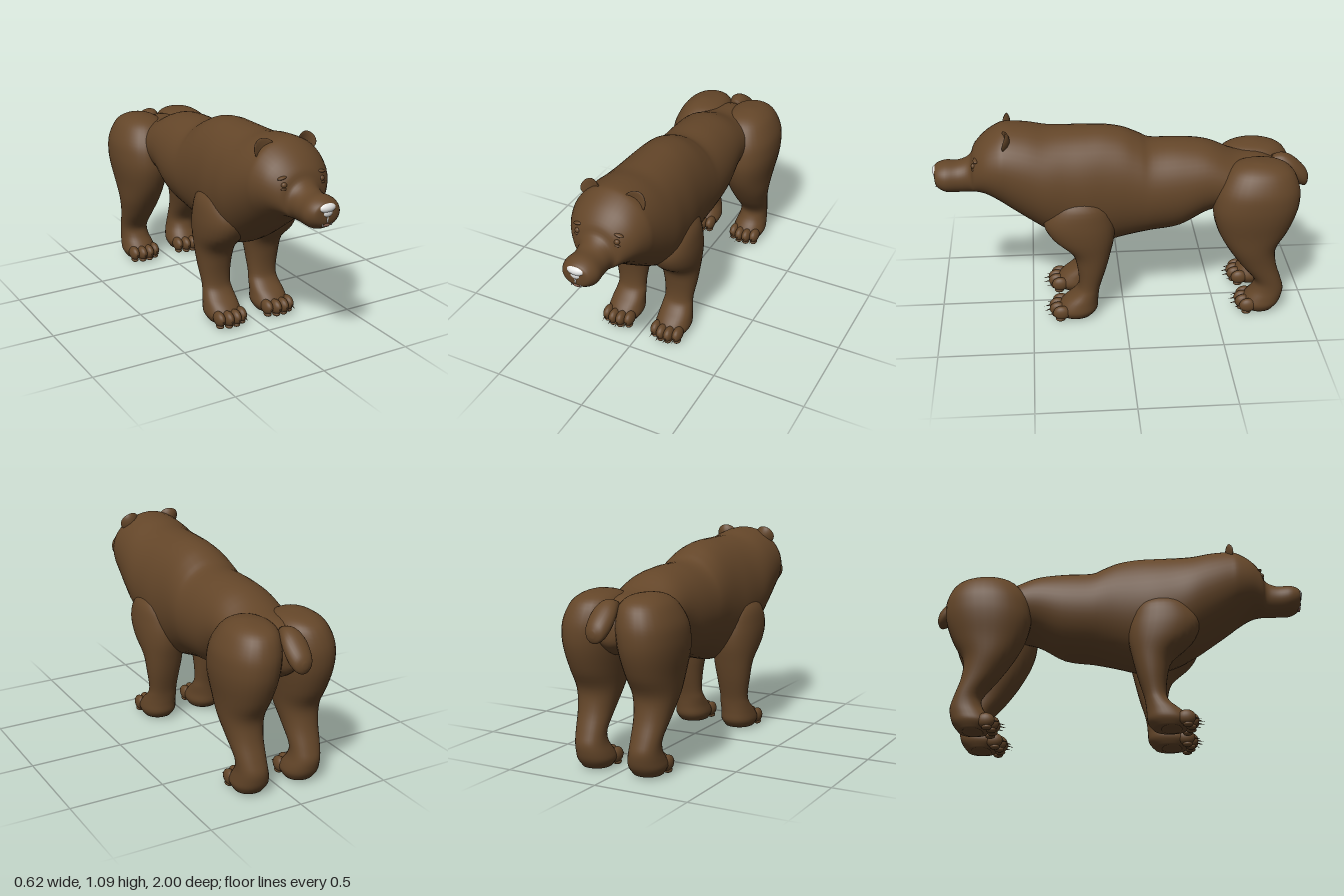
import * as THREE from 'three';

const fur = new THREE.MeshStandardMaterial({ name: 'brownFur', color: 0x644629 });
const white = new THREE.MeshStandardMaterial({ name: 'paleNose', color: 0xe6e6e4 });
const pink = new THREE.MeshStandardMaterial({ name: 'mouthPink', color: 0x8a6250 });

// Smooth loft through oval sections [t, a0, a1, b0, b1].
// axis 'z': a = x, b = y; axis 'y': a = z, b = x.
function loft(sections, axis, steps = 4, sides = 36, power = 1) {
  const s = sections[0][0] < sections.at(-1)[0] ? sections : [...sections].reverse();
  const at = i => s[Math.max(0, Math.min(s.length - 1, i))];
  const rows = [];
  for (let i = 0; i < s.length - 1; i++) {
    for (let k = 0; k < steps; k++) {
      const u = k / steps;
      rows.push(s[i].map((p1, c) => {
        const p0 = at(i - 1)[c], p2 = at(i + 1)[c], p3 = at(i + 2)[c];
        return p1 + 0.5 * u * (p2 - p0 + u * (2 * p0 - 5 * p1 + 4 * p2 - p3 + u * (3 * (p1 - p2) + p3 - p0)));
      }));
    }
  }
  rows.push(s.at(-1));
  const pos = [], index = [];
  const put = (a, b, t) => (axis === 'z' ? pos.push(a, b, t) : pos.push(b, t, a));
  const bend = v => Math.sign(v) * Math.abs(v) ** power;
  for (const [t, a0, a1, b0, b1] of rows) {
    for (let j = 0; j < sides; j++) {
      const w = (j / sides) * Math.PI * 2;
      put((a0 + a1) / 2 + bend(Math.cos(w)) * (a1 - a0) / 2,
        (b0 + b1) / 2 + bend(Math.sin(w)) * (b1 - b0) / 2, t);
    }
  }
  const n = rows.length;
  for (const r of [rows[0], rows[n - 1]]) put((r[1] + r[2]) / 2, (r[3] + r[4]) / 2, r[0]);
  for (let j = 0; j < sides; j++) {
    const m = (j + 1) % sides;
    for (let i = 0; i < n - 1; i++) {
      const p = i * sides, q = p + sides;
      index.push(p + j, p + m, q + j, p + m, q + m, q + j);
    }
    const last = (n - 1) * sides;
    index.push(n * sides, m, j, n * sides + 1, last + j, last + m);
  }
  const g = new THREE.BufferGeometry();
  g.setAttribute('position', new THREE.Float32BufferAttribute(pos, 3));
  g.setIndex(index);
  g.computeVertexNormals();
  return g;
}

function add(parent, name, geometry, material = fur) {
  const mesh = new THREE.Mesh(geometry, material);
  mesh.name = name;
  parent.add(mesh);
  return mesh;
}

function blob(parent, name, [x, y, z], [rx, ry, rz], material = fur) {
  const mesh = add(parent, name, new THREE.SphereGeometry(1, 20, 14), material);
  mesh.position.set(x, y, z);
  mesh.scale.set(rx, ry, rz);
  return mesh;
}

// Muzzle to rump: [z, half width, bottom, top]
const BODY = [
  [0.988, 0.035, 0.79, 0.845], [0.978, 0.072, 0.75, 0.868], [0.93, 0.095, 0.72, 0.885],
  [0.86, 0.088, 0.715, 0.885], [0.8, 0.095, 0.715, 0.915], [0.775, 0.135, 0.72, 0.97],
  [0.72, 0.182, 0.712, 1.03], [0.65, 0.213, 0.67, 1.075], [0.6, 0.222, 0.63, 1.087],
  [0.5, 0.236, 0.555, 1.08], [0.4, 0.245, 0.485, 1.062], [0.3, 0.24, 0.43, 1.06],
  [0.2, 0.235, 0.4, 1.06], [0.1, 0.225, 0.4, 1.058], [0, 0.22, 0.425, 1.04],
  [-0.08, 0.22, 0.445, 1.005], [-0.15, 0.22, 0.46, 0.973], [-0.3, 0.215, 0.485, 0.97],
  [-0.45, 0.2, 0.57, 0.95], [-0.6, 0.19, 0.6, 0.885], [-0.75, 0.165, 0.58, 0.865],
  [-0.86, 0.08, 0.64, 0.8], [-0.88, 0.01, 0.7, 0.74],
];

// Legs: [y, back z, front z, inner x, outer x]
const FRONT_LEG = [
  [0.78, 0.2, 0.3, 0.1, 0.17], [0.7, 0.1, 0.38, 0.06, 0.25], [0.6, 0.06, 0.43, 0.03, 0.272],
  [0.5, 0.055, 0.39, 0.03, 0.27], [0.4, 0.075, 0.285, 0.04, 0.252], [0.3, 0.1, 0.255, 0.055, 0.238],
  [0.2, 0.13, 0.25, 0.065, 0.222], [0.15, 0.14, 0.275, 0.06, 0.225], [0.1, 0.145, 0.335, 0.055, 0.235],
  [0.05, 0.15, 0.37, 0.05, 0.24], [0.012, 0.18, 0.35, 0.07, 0.22],
];
const HIND_LEG = [
  [0.895, -0.72, -0.68, 0.12, 0.16], [0.88, -0.82, -0.6, 0.05, 0.21], [0.84, -0.885, -0.54, 0.01, 0.26],
  [0.76, -0.92, -0.49, -0.005, 0.3], [0.68, -0.925, -0.47, 0, 0.31], [0.6, -0.91, -0.47, 0.01, 0.305],
  [0.5, -0.87, -0.5, 0.03, 0.287], [0.4, -0.815, -0.555, 0.05, 0.272], [0.3, -0.82, -0.625, 0.07, 0.252],
  [0.2, -0.852, -0.705, 0.08, 0.236], [0.14, -0.87, -0.7, 0.075, 0.233], [0.09, -0.865, -0.665, 0.06, 0.238],
  [0.05, -0.85, -0.645, 0.055, 0.24], [0.012, -0.82, -0.67, 0.075, 0.22],
];

// Leg with toes, claws and sole pads
function makeLeg(name, sections, side, toeZ) {
  const leg = new THREE.Group();
  leg.name = name;
  const placed = sections.map(([y, z0, z1, x0, x1]) => side > 0 ? [y, z0, z1, x0, x1] : [y, z0, z1, -x1, -x0]);
  add(leg, 'limb', loft(placed, 'y', 4, 32, 0.93));
  for (let i = 0; i < 4; i++) {
    const x = side * (0.082 + i * 0.043);
    const z = toeZ - (i === 0 || i === 3 ? 0.018 : 0);
    blob(leg, 'toe', [x, 0.052, z - 0.047], [0.027, 0.04, 0.047]);
    blob(leg, 'toePad', [x, 0.014, z - 0.04], [0.02, 0.014, 0.026]);
    const claw = add(leg, 'claw', new THREE.ConeGeometry(0.006, 0.045, 8));
    claw.position.set(x, 0.046, z + 0.008);
    claw.rotation.x = Math.PI / 2 + 0.25;
  }
  blob(leg, 'solePad', [side * 0.146, 0.016, toeZ - 0.14], [0.07, 0.016, 0.055]);
  return leg;
}

// Cupped ear: a flattened ball whose rim curls forward
function earGeometry() {
  const g = new THREE.SphereGeometry(1, 24, 16).scale(0.056, 0.05, 0.012);
  const p = g.attributes.position;
  for (let i = 0; i < p.count; i++) {
    p.setZ(i, p.getZ(i) + 9 * p.getX(i) ** 2 + 3 * p.getY(i) ** 2);
  }
  g.computeVertexNormals();
  return g;
}

export function createModel() {
  const bear = new THREE.Group();
  bear.name = 'bear';

  add(bear, 'headAndBody', loft(BODY.map(([z, w, lo, hi]) => [z, -w, w, lo, hi]), 'z', 4, 44));
  add(bear, 'tail', loft([
    [-0.8, -0.03, 0.03, 0.81, 0.86], [-0.85, -0.05, 0.05, 0.78, 0.872], [-0.9, -0.064, 0.064, 0.735, 0.855],
    [-0.95, -0.062, 0.062, 0.69, 0.815], [-0.985, -0.045, 0.045, 0.68, 0.775], [-1, -0.012, 0.012, 0.71, 0.74],
  ], 'z', 4, 24));

  for (const side of [1, -1]) {
    const label = side > 0 ? 'left' : 'right';
    bear.add(makeLeg(label + 'FrontLeg', FRONT_LEG, side, 0.412));
    bear.add(makeLeg(label + 'HindLeg', HIND_LEG, side, -0.608));

    const ear = add(bear, label + 'Ear', earGeometry());
    ear.position.set(side * 0.122, 1.043, 0.595);
    ear.rotation.z = -side * 0.3;

    // Eyes with brow and lower lid folds
    blob(bear, label + 'Eye', [side * 0.107, 0.905, 0.776], [0.015, 0.014, 0.013]);
    blob(bear, label + 'Brow', [side * 0.11, 0.937, 0.763], [0.026, 0.008, 0.014]).rotation.z = -side * 0.2;
    blob(bear, label + 'LowerLid', [side * 0.106, 0.886, 0.778], [0.02, 0.006, 0.01]);

    // Lower fangs
    const fang = add(bear, label + 'Fang', new THREE.ConeGeometry(0.004, 0.016, 8), white);
    fang.position.set(side * 0.024, 0.758, 0.982);
  }

  // Nose and mouth
  blob(bear, 'nose', [0, 0.838, 0.972], [0.05, 0.026, 0.028], white);
  blob(bear, 'noseBase', [0, 0.815, 0.976], [0.032, 0.024, 0.019], white);
  blob(bear, 'lipCleft', [0, 0.785, 0.982], [0.006, 0.02, 0.009], white);
  blob(bear, 'mouth', [0, 0.755, 0.972], [0.026, 0.013, 0.014], pink);
  return bear;
}
